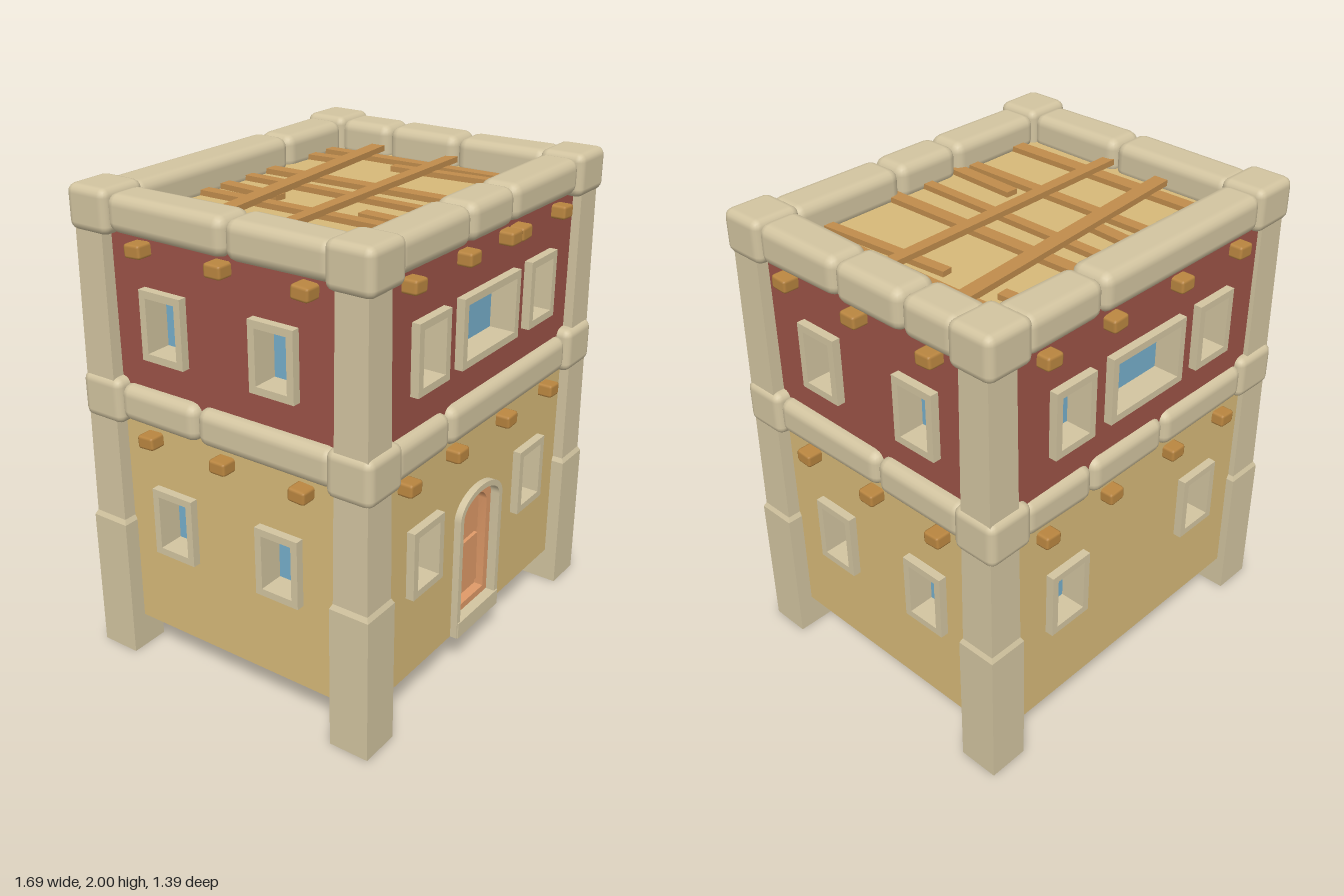
import * as THREE from 'three';
import { toCreasedNormals } from 'three/addons/utils/BufferGeometryUtils.js';
import { RoundedBoxGeometry } from 'three/addons/geometries/RoundedBoxGeometry.js';

const mat = (name, color, side = THREE.FrontSide) => {
  const m = new THREE.MeshStandardMaterial({ color, side });
  m.name = name;
  return m;
};

export function createModel() {
  const model = new THREE.Group();
  model.name = 'adobeHouse';
  const plaster = mat('tanPlaster', 0xd6b978);
  const red = mat('redPlaster', 0x9c5347);
  const stone = mat('paleStone', 0xd2c4a0);
  const glass = mat('blueGlass', 0x76aeca, THREE.DoubleSide);
  const wood = mat('roofWood', 0xc08c4c);
  const endWood = mat('beamEndWood', 0xba8640);
  const doorWood = mat('orangeDoorWood', 0xdf9a68);
  const dark = mat('darkIron', 0x4a3020);

  const add = (parent, name, geo, material, x = 0, y = 0, z = 0) => {
    const mesh = new THREE.Mesh(geo, material);
    mesh.name = name;
    mesh.position.set(x, y, z);
    parent.add(mesh);
    return mesh;
  };
  const box = (parent, name, w, h, d, material, x, y, z) =>
    add(parent, name, new THREE.BoxGeometry(w, h, d), material, x, y, z);

  // Shape helpers
  const rect = (C, x, y, w, h) => {
    const s = new C();
    s.moveTo(x - w / 2, y - h / 2);
    s.lineTo(x + w / 2, y - h / 2);
    s.lineTo(x + w / 2, y + h / 2);
    s.lineTo(x - w / 2, y + h / 2);
    s.closePath();
    return s;
  };
  const arch = (C, half, bottom, spring, top) => {
    const s = new C();
    s.moveTo(-half, bottom);
    s.lineTo(half, bottom);
    s.lineTo(half, spring);
    s.absellipse(0, spring, half, top - spring, 0, Math.PI, false);
    s.closePath();
    return s;
  };
  const slab = (shape, holes, depth) => {
    shape.holes.push(...holes);
    return toCreasedNormals(
      new THREE.ExtrudeGeometry(shape, { depth, bevelEnabled: false, curveSegments: 12 }), 0.6);
  };

  // Window: deep stone frame around recessed glass, wall face at z = 0
  const addWindow = (parent, [u, y, w, h]) => {
    const frame = slab(rect(THREE.Shape, u, y, w, h), [rect(THREE.Path, u, y, w - 0.06, h - 0.06)], 0.12);
    add(parent, 'windowFrame', frame, stone, 0, 0, -0.085);
    add(parent, 'windowGlass', new THREE.PlaneGeometry(w - 0.05, h - 0.05), glass, u, y, -0.075);
  };

  // Four walls, each built facing +z and then turned into place
  const longLow = [-0.405, 0.405].map(u => [u, 0.665, 0.21, 0.29]);
  const longHigh = [...[-0.405, 0.405].map(u => [u, 1.5, 0.21, 0.28]), [0, 1.5, 0.42, 0.28]];
  const sideWin = (y, h, s) => [[-0.24 * s, y, 0.2, h], [0.275 * s, y, 0.2, h]];
  const longHighEnds = [-0.54, -0.18, 0.2, 0.54];
  const longLowEnds = [-0.54, -0.21, 0.17, 0.53];
  const walls = [
    { name: 'frontWall', turn: 0, dist: 0.625, half: 0.77, low: longLow, high: longHigh,
      endsHigh: [...longHighEnds, 0.12], endsLow: longLowEnds, reach: 0.685, door: true },
    { name: 'backWall', turn: Math.PI, dist: 0.645, half: 0.77, low: longLow, high: longHigh,
      endsHigh: longHighEnds.map(u => -u), endsLow: longLowEnds.map(u => -u), reach: 0.7 },
    { name: 'leftWall', turn: Math.PI / 2, dist: 0.775, half: 0.62, low: sideWin(0.665, 0.29, 1),
      high: sideWin(1.5, 0.28, 1), endsHigh: [-0.39, -0.01, 0.37], endsLow: [-0.36, 0.01, 0.37], reach: 0.84 },
    { name: 'rightWall', turn: -Math.PI / 2, dist: 0.775, half: 0.62, low: sideWin(0.665, 0.29, -1),
      high: sideWin(1.5, 0.28, -1), endsHigh: [0.39, 0.01, -0.37], endsLow: [0.36, -0.01, -0.37], reach: 0.84 },
  ];
  for (const w of walls) {
    const turned = new THREE.Group();
    turned.name = w.name;
    turned.rotation.y = w.turn;
    model.add(turned);
    const g = new THREE.Group();
    g.name = w.name + 'Face';
    g.position.z = w.dist;
    turned.add(g);
    const hole = ([u, y, a, b]) => rect(THREE.Path, u, y, a - 0.03, b - 0.03);
    const lowHoles = w.low.map(hole);
    if (w.door) lowHoles.push(arch(THREE.Path, 0.15, 0.17, 0.69, 0.777));
    add(g, 'lowerWall', slab(rect(THREE.Shape, 0, 0.65, w.half * 2, 1.0), lowHoles, 0.03), plaster, 0, 0, -0.03);
    add(g, 'upperWall', slab(rect(THREE.Shape, 0, 1.505, w.half * 2, 0.71), w.high.map(hole), 0.03), red, 0, 0, -0.03);
    [...w.low, ...w.high].forEach(win => addWindow(g, win));

    // Beam ends poking out of the wall
    const out = w.reach - w.dist;
    const beamEnd = (u, y, i) => {
      const m = add(g, 'beamEnd', new RoundedBoxGeometry(0.078, 0.056, out + 0.06, 1, 0.012),
        endWood, u, y, out / 2 - 0.03);
      m.rotation.z = (i % 3 - 1) * 0.06;
    };
    w.endsHigh.forEach((u, i) => beamEnd(u, 1.79, i));
    w.endsLow.forEach((u, i) => beamEnd(u, 1.02, i));

    if (w.door) {
      // Arched doorway with sill, lining, leaf and handle
      const d = new THREE.Group();
      d.name = 'door';
      g.add(d);
      add(d, 'doorSurround', slab(arch(THREE.Shape, 0.165, 0.15, 0.69, 0.795),
        [arch(THREE.Path, 0.14, 0.2, 0.69, 0.77)], 0.1), stone, 0, 0, -0.07);
      box(d, 'doorSill', 0.32, 0.07, 0.1, stone, 0, 0.185, -0.015);
      add(d, 'doorBack', slab(arch(THREE.Shape, 0.15, 0.16, 0.69, 0.777), [], 0.015), stone, 0, 0, -0.085);
      add(d, 'doorLining', slab(arch(THREE.Shape, 0.14, 0.22, 0.69, 0.77),
        [arch(THREE.Path, 0.108, 0.25, 0.66, 0.735)], 0.05), doorWood, 0, 0, -0.06);
      add(d, 'doorLeaf', slab(arch(THREE.Shape, 0.125, 0.23, 0.68, 0.755), [], 0.02), doorWood, 0, 0, -0.07);
      const panels = box(d, 'lowerDoorPanel', 0.18, 0.23, 0.02, doorWood, 0, 0.395, -0.045);
      panels.rotation.z = 0.03;
      add(d, 'upperDoorPanel', slab(arch(THREE.Shape, 0.085, 0.54, 0.66, 0.72), [], 0.02), doorWood, 0, 0, -0.055);
      box(d, 'doorHandle', 0.014, 0.045, 0.03, dark, -0.095, 0.53, -0.035);
    }
  }

  // Corner pillars: wide foot, sloped shoulder, tapering shaft
  const post = (g, name, bottom, top, y0, y1) => {
    const geo = new THREE.CylinderGeometry(top * Math.SQRT1_2, bottom * Math.SQRT1_2, y1 - y0, 4);
    geo.rotateY(Math.PI / 4);
    add(g, name, toCreasedNormals(geo, 0.3), stone, 0, (y0 + y1) / 2, 0);
  };
  for (const sx of [-1, 1]) for (const sz of [-1, 1]) {
    const g = new THREE.Group();
    g.name = 'cornerPillar';
    g.position.set(sx * 0.757, 0, sz * 0.595);
    model.add(g);
    post(g, 'pillarFoot', 0.172, 0.172, 0, 0.61);
    post(g, 'pillarShoulder', 0.172, 0.152, 0.61, 0.63);
    post(g, 'pillarShaft', 0.152, 0.134, 0.63, 1.87);
  }

  // Worn stone blocks, each slightly tapered along its length
  let seed = 7;
  const rand = () => (seed = (seed * 16807) % 2147483647) / 2147483647;
  const block = (name, x0, x1, y0, y1, z0, z1, r = 0.045, wear = 0.06) => {
    const w = x1 - x0, h = y1 - y0, d = z1 - z0;
    const geo = new RoundedBoxGeometry(w, h, d, 2, r);
    const p = geo.attributes.position, alongX = w > d, t = (rand() - 0.5) * 2 * wear;
    for (let i = 0; i < p.count; i++) {
      const s = 1 - Math.abs(t) / 2 + t * (alongX ? p.getX(i) / w : p.getZ(i) / d);
      p.setY(i, p.getY(i) * s);
      if (alongX) p.setZ(i, p.getZ(i) * s); else p.setX(i, p.getX(i) * s);
    }
    add(model, name, geo, stone, (x0 + x1) / 2, (y0 + y1) / 2, (z0 + z1) / 2);
  };
  for (const sx of [-1, 1]) for (const sz of [-1, 1]) for (const [y0, y1] of [[1.06, 1.25], [1.82, 2]]) {
    const x = sx * 0.735, z = sz * 0.587;
    block('cornerStone', x - 0.107, x + 0.107, y0, y1, z - 0.1, z + 0.1, 0.035, 0.02);
  }
  // Runs along x: [x breaks, y0, y1, z0, z1]
  const runsX = [
    [[-0.65, -0.18, 0.13, 0.65], 1.835, 1.985, 0.49, 0.668],
    [[-0.65, 0.265, 0.65], 1.83, 1.985, -0.678, -0.498],
    [[-0.65, -0.275, 0.65], 1.065, 1.225, 0.5, 0.668],
    [[-0.65, -0.13, 0.29, 0.65], 1.07, 1.225, -0.68, -0.5],
  ];
  for (const [b, y0, y1, z0, z1] of runsX)
    for (let i = 0; i + 1 < b.length; i++) block('rimStone', b[i], b[i + 1], y0, y1, z0, z1);
  // Runs along z: [z breaks, y0, y1, x0, x1]
  const runsZ = [
    [[-0.51, -0.25, 0.09, 0.51], 1.825, 1.99, 0.64, 0.825],
    [[-0.51, 0.05, 0.51], 1.83, 1.985, -0.825, -0.645],
    [[-0.51, -0.065, 0.51], 1.075, 1.23, 0.65, 0.825],
    [[-0.51, -0.12, 0.51], 1.075, 1.23, -0.825, -0.65],
  ];
  for (const [b, y0, y1, x0, x1] of runsZ)
    for (let i = 0; i + 1 < b.length; i++) block('rimStone', x0, x1, y0, y1, b[i], b[i + 1]);

  // Roof deck with a loose lattice of poles: [x0, z0, x1, z1, width]
  box(model, 'roofDeck', 1.5, 0.02, 1.24, plaster, 0, 1.85, 0);
  const pole = (y, [x0, z0, x1, z1, w]) => {
    const m = box(model, 'roofPole', w, 0.025, Math.hypot(x1 - x0, z1 - z0), wood, (x0 + x1) / 2, y, (z0 + z1) / 2);
    m.rotation.y = Math.atan2(x1 - x0, z1 - z0);
  };
  [
    [-0.565, -0.52, -0.54, 0.52, 0.062], [-0.285, -0.52, -0.27, 0.52, 0.05],
    [-0.16, -0.52, -0.18, -0.2, 0.055], [-0.185, 0.19, -0.195, 0.52, 0.055],
    [-0.01, -0.52, -0.01, 0.52, 0.045], [0.13, -0.52, 0.16, 0.52, 0.058],
    [0.42, -0.52, 0.435, -0.35, 0.05], [0.455, -0.1, 0.51, 0.52, 0.045],
    [0.545, -0.52, 0.575, 0.52, 0.05],
  ].forEach(p => pole(1.87, p));
  [[-0.66, -0.195, 0.66, -0.305, 0.063], [-0.66, 0.085, 0.66, 0.068, 0.05]].forEach(p => pole(1.893, p));

  return model;
}
